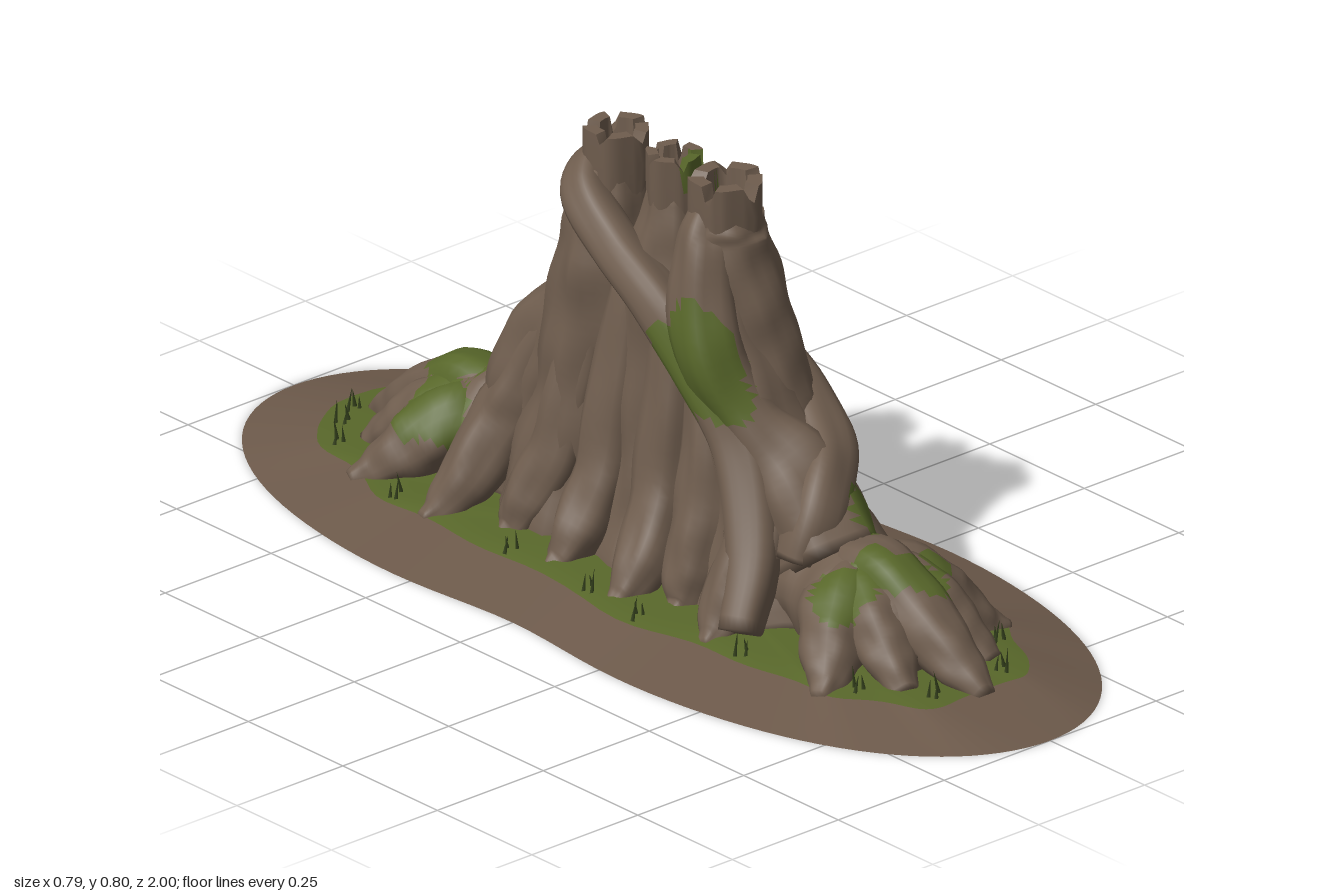
import * as THREE from 'three';
import { mergeGeometries, toCreasedNormals } from 'three/addons/utils/BufferGeometryUtils.js';

const material = (name, color) => Object.assign(new THREE.MeshStandardMaterial({ color }), { name });

// Mossy spots on the bark: x, y, z, radius
const MOSS = [
  [-0.14, 0.5, 0.2, 0.1], [-0.1, 0.43, 0.25, 0.05], [0.1, 0.7, 0.08, 0.07],
  [-0.11, 0.17, 0.57, 0.06], [-0.04, 0.21, 0.58, 0.045], [0.02, 0.18, 0.63, 0.06],
  [0.07, 0.24, 0.46, 0.055], [0.1, 0.17, 0.58, 0.04],
  [0, 0.22, -0.54, 0.075], [-0.11, 0.16, -0.5, 0.075], [0.11, 0.16, -0.5, 0.08],
  [0.02, 0.76, 0.06, 0.05],
];
const isMossy = (x, y, z) => MOSS.some(([a, b, c, r]) =>
  Math.hypot(x - a, y - b, z - c) < r * (1 + 0.15 * Math.sin(40 * x + 31 * y + 37 * z)));

// Skin closed rings of points; group 0 is bark, group 1 is moss
function skin(rings, mossTest = isMossy) {
  const n = rings[0].length, verts = rings.flat(), faces = [[], []];
  for (let i = 0; i < rings.length - 1; i++) {
    for (let j = 0; j < n; j++) {
      const a = i * n + j, b = i * n + (j + 1) % n, c = a + n, d = b + n;
      for (const tri of [[a, b, c], [b, d, c]]) {
        const m = tri.reduce((s, k) => s.add(verts[k]), new THREE.Vector3()).divideScalar(3);
        faces[mossTest(m.x, m.y, m.z) ? 1 : 0].push(...tri);
      }
    }
  }
  const g = new THREE.BufferGeometry().setFromPoints(verts);
  g.setIndex(faces.flat());
  g.addGroup(0, faces[0].length, 0);
  g.addGroup(faces[0].length, faces[1].length, 1);
  g.computeVertexNormals();
  return g;
}

// Tapered, lumpy limb through points [x, y, z, radius]
function limb(pts, { steps = 36, sides = 24, ridges = 5, amp = 0.07, twist = 2, phase = 0 } = {}) {
  const path = new THREE.CatmullRomCurve3(pts.map(p => new THREE.Vector3(p[0], p[1], p[2])));
  const width = new THREE.CatmullRomCurve3(pts.map(p => new THREE.Vector3(p[3], 0, 0)), false, 'catmullrom');
  const normal = new THREE.Vector3(0.31, 0.12, 0.94), rings = [];
  for (let i = 0; i <= steps; i++) {
    const t = i / steps, c = path.getPoint(t), dir = path.getTangent(t), r = width.getPoint(t).x;
    normal.addScaledVector(dir, -normal.dot(dir)).normalize();
    const side = new THREE.Vector3().crossVectors(dir, normal);
    const ring = Array.from({ length: sides }, (_, j) => {
      const a = j / sides * Math.PI * 2;
      const k = r * (1 + amp * Math.sin(ridges * a + twist * t + phase)
        + 0.035 * Math.sin(3 * a + 19 * t + phase) + 0.025 * Math.sin(2 * a - 31 * t));
      const p = c.clone().addScaledVector(normal, k * Math.cos(a)).addScaledVector(side, k * Math.sin(a));
      p.y = Math.max(p.y, 0.012);
      return p;
    });
    const cap = () => ring.map(() => c.clone());
    if (i === 0) rings.push(cap());
    rings.push(ring);
    if (i === steps) rings.push(cap());
  }
  return skin(rings);
}

// Hollow cut stump end with a notched rim
function stumpEnd(z, r, turn) {
  const rows = [[r * 0.9, 0.64], [r, 0.74], [r, 0.8], [r * 0.58, 0.8], [r * 0.5, 0.735], [0, 0.735]];
  const rings = rows.map(([rad, y]) => Array.from({ length: 40 }, (_, j) => {
    const a = j / 40 * Math.PI * 2, k = rad * (1 + 0.05 * Math.sin(5 * a));
    const cut = y === 0.8 && j % 8 < 2 ? 0.02 + 0.012 * Math.sin(j) : 0;
    return new THREE.Vector3(k * Math.cos(a + turn), y - cut, z - k * Math.sin(a + turn));
  }));
  return toCreasedNormals(skin(rings), 0.7);
}

// Rounded ground outline, slightly waisted in the middle
function outline(a) {
  const z = Math.sin(a), s = Math.sign(Math.cos(a));
  const x = 0.407 * s * Math.sqrt(Math.max(0, 1 - Math.abs(z) ** 3)) * (1 - 0.075 * Math.exp(-((z / 0.22) ** 2)));
  return [x, z];
}
function mossEdge(a) {
  const c = Math.cos(a), s = Math.sin(a), w = 1 + 0.04 * Math.sin(9 * a) + 0.035 * Math.sin(17 * a + 1);
  return [0.262 * Math.sign(c) * Math.abs(c) ** 0.6 * w,
    0.83 * Math.sign(s) * Math.abs(s) ** 0.85 * (1 + 0.015 * Math.sin(11 * a))];
}
function groundRing(fn, scale, y) {
  return Array.from({ length: 128 }, (_, j) => {
    const [x, z] = fn(-j / 128 * Math.PI * 2);
    return new THREE.Vector3(x * scale, y, z * scale);
  });
}

export function createModel() {
  const model = new THREE.Group();
  const bark = material('bark', 0x6f5d4e), moss = material('moss', 0x58672a);
  const soil = material('soil', 0x6c594a), grass = material('grass', 0x38451f);
  const add = (name, geometry, mat = [bark, moss]) => {
    const mesh = new THREE.Mesh(geometry, mat);
    mesh.name = name;
    model.add(mesh);
  };

  // Ground
  const never = () => false;
  add('soilMound', toCreasedNormals(skin([
    groundRing(outline, 0, 0), groundRing(outline, 1, 0), groundRing(mossEdge, 1, 0.034),
  ], never), 0.6), [soil, soil]);
  add('mossBed', skin([
    groundRing(mossEdge, 1, 0.034), groundRing(mossEdge, 0.85, 0.044), groundRing(mossEdge, 0, 0.055),
  ], never), [moss, moss]);

  // Trunks
  add('frontTrunk', limb([[0, 0.02, 0.3, 0.17], [0, 0.2, 0.27, 0.12], [0, 0.4, 0.2, 0.092],
    [0, 0.58, 0.14, 0.085], [0, 0.73, 0.14, 0.058]], { ridges: 7 }));
  add('frontLog', limb([[0.06, 0.3, 0.27, 0.045], [0.045, 0.42, 0.235, 0.056], [0.02, 0.55, 0.19, 0.07],
    [0, 0.68, 0.15, 0.072], [0, 0.73, 0.145, 0.062]], { ridges: 8, amp: 0.04 }));
  add('frontLeftTrunk', limb([[-0.025, 0.74, 0.13, 0.035], [-0.045, 0.67, 0.14, 0.055], [-0.076, 0.52, 0.18, 0.062],
    [-0.04, 0.38, 0.24, 0.065], [0, 0.28, 0.32, 0.09], [0, 0.15, 0.42, 0.1]]));
  add('middleTrunk', limb([[0, 0.02, 0, 0.16], [0, 0.25, 0, 0.11], [0, 0.55, 0, 0.085],
    [0, 0.73, 0.005, 0.045]], { ridges: 7 }));
  add('backTrunk', limb([[0, 0.02, -0.22, 0.16], [0, 0.3, -0.19, 0.11], [0, 0.55, -0.165, 0.092],
    [0, 0.73, -0.145, 0.053]], { ridges: 7 }));
  add('backButtress', limb([[0, 0.68, -0.17, 0.045], [0.01, 0.54, -0.21, 0.064], [0, 0.45, -0.225, 0.065],
    [0, 0.335, -0.295, 0.095], [0, 0.2, -0.33, 0.11], [0, 0.04, -0.37, 0.12]]));
  add('rightBulge', limb([[0.06, 0.755, 0.08, 0.02], [0.072, 0.7, 0.07, 0.037], [0.068, 0.62, 0.05, 0.042],
    [0.045, 0.5, 0.04, 0.035]]));
  for (const [z, r, turn] of [[0.145, 0.066, Math.PI * 1.47], [0.005, 0.05, 0.4], [-0.145, 0.058, 0.9]])
    add('stumpEnd', stumpEnd(z, r, turn));

  // Climbing roots wound round the trunks
  add('frontClimbingRoot', limb([[-0.06, 0.16, 0.41, 0.05], [-0.02, 0.25, 0.405, 0.056], [0.05, 0.31, 0.35, 0.054],
    [0.095, 0.37, 0.24, 0.052], [0.105, 0.44, 0.12, 0.045], [0.08, 0.5, 0, 0.04], [0.04, 0.54, -0.08, 0.03]],
  { ridges: 4, steps: 48 }));
  add('backClimbingRoot', limb([[0.045, 0.49, 0.06, 0.035], [0.065, 0.57, -0.01, 0.042], [0.07, 0.64, -0.11, 0.042],
    [0.055, 0.7, -0.175, 0.042], [0, 0.72, -0.19, 0.039], [-0.06, 0.69, -0.16, 0.042], [-0.08, 0.62, -0.06, 0.045],
    [-0.083, 0.55, 0.06, 0.05], [-0.075, 0.45, 0.17, 0.052], [-0.065, 0.33, 0.26, 0.052],
    [-0.11, 0.17, 0.34, 0.05], [-0.18, 0.05, 0.38, 0.04]], { ridges: 4, steps: 70 }));

  // Flared roots along both sides: z at the foot, reach, height
  const sideRoots = [[0.34, 0.2, 0.36], [0.2, 0.16, 0.48], [0.08, 0.21, 0.55],
    [-0.08, 0.19, 0.55], [-0.21, 0.165, 0.5], [-0.37, 0.215, 0.4]];
  sideRoots.forEach(([z, reach, h], i) => {
    for (const s of [1, -1]) {
      const foot = z + 0.02 * Math.sin(i * 1.7 + s * 2);
      add('sideRoot', limb([[s * 0.025, h, z * 0.7, 0.045], [s * 0.055, h * 0.65, z * 0.86, 0.056],
        [s * 0.085, 0.18, z * 0.95, 0.06], [s * (0.03 + reach * 0.6), 0.085, foot, 0.052],
        [s * reach, 0.035, foot * 1.04, 0.03], [s * (reach + 0.03), 0.025, foot * 1.06, 0.014]],
      { phase: i + s, sides: 20, steps: 28 }));
    }
  });

  // Low root clumps at each end
  for (const [end, k] of [['front', 1], ['back', -0.94]]) {
    const root = (name, pts, phase) =>
      add(end + name, limb(pts.map(([x, y, z, r]) => [x, y, z * k, r]), { sides: 22, steps: 30, phase, amp: 0.05 }));
    root('ClumpCore', [[0, 0.09, 0.38, 0.1], [0, 0.1, 0.5, 0.12], [0, 0.09, 0.6, 0.1], [0, 0.05, 0.7, 0.06]], 0);
    root('CentreRoot', [[0, 0.13, 0.42, 0.06], [0, 0.165, 0.55, 0.066], [0, 0.11, 0.67, 0.06],
      [0, 0.06, 0.76, 0.045], [0, 0.025, 0.83, 0.02]], 1);
    for (const s of [1, -1]) {
      root('DiagonalRoot', [[0, 0.13, 0.5, 0.06], [s * 0.05, 0.125, 0.58, 0.065], [s * 0.08, 0.075, 0.66, 0.05],
        [s * 0.1, 0.025, 0.73, 0.025]], s);
      root('SpreadRoot', [[0, 0.12, 0.49, 0.08], [s * 0.08, 0.115, 0.54, 0.075], [s * 0.14, 0.07, 0.58, 0.06],
        [s * 0.19, 0.035, 0.62, 0.035], [s * 0.225, 0.025, 0.64, 0.015]], s + 2);
    }
  }

  // Grass tufts round the edge of the moss
  const blades = [];
  for (let i = 0; i < 20; i++) {
    const [x, z] = mossEdge(i / 20 * Math.PI * 2 + 0.15 * Math.sin(i * 5));
    for (let j = 0; j < 3; j++) {
      const h = 0.025 + 0.022 * Math.abs(Math.sin(i * 3.1 + j * 1.9));
      blades.push(new THREE.ConeGeometry(0.005, h, 4).rotateZ(0.25 * Math.sin(i + j * 2))
        .translate(x * 0.91 + 0.01 * Math.sin(j * 2.4 + i), 0.036 + h / 2, z * 0.95 + 0.01 * Math.cos(j * 2.4 + i)));
    }
  }
  add('grassTufts', mergeGeometries(blades), grass);
  return model;
}
